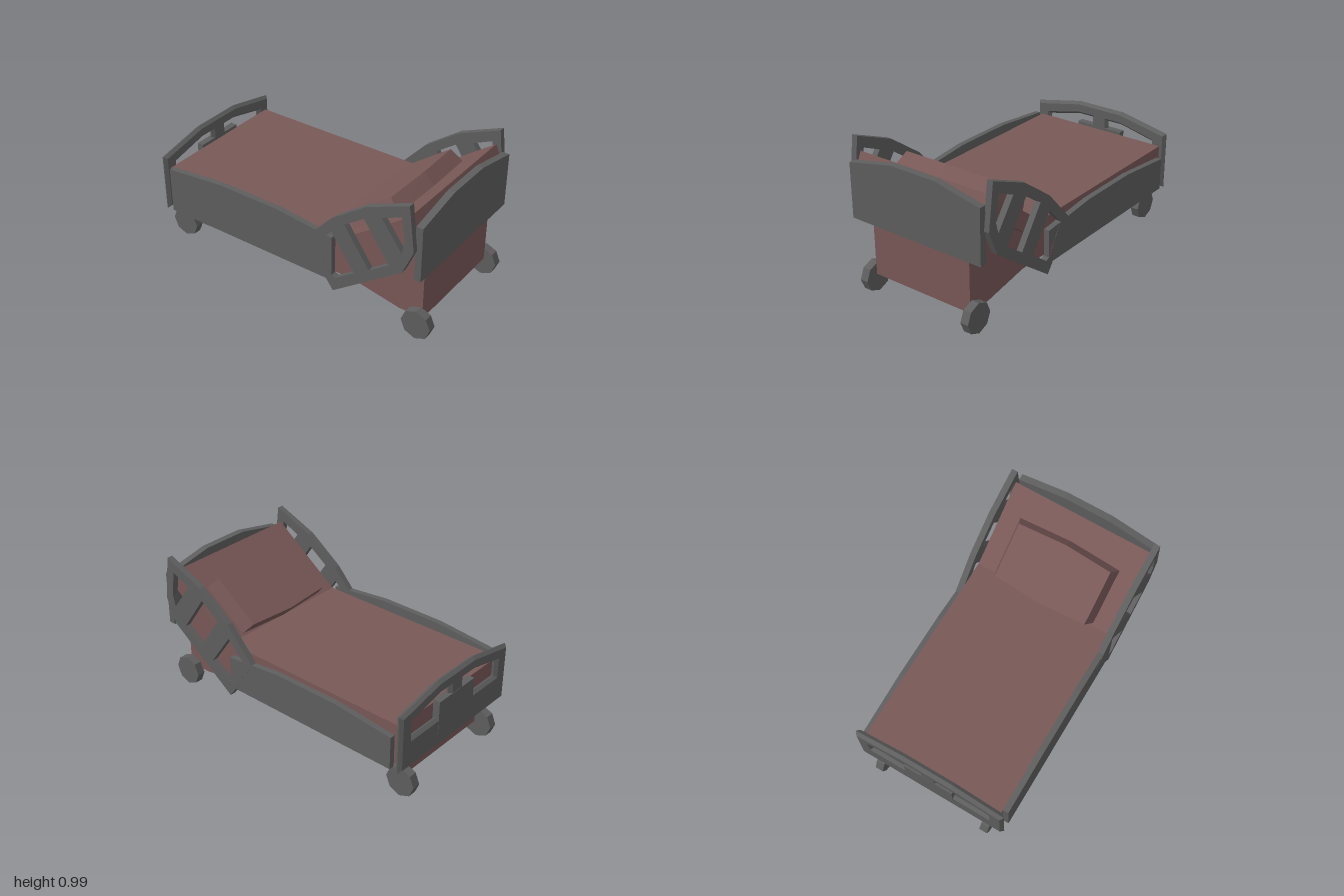
import * as THREE from 'three';
import { ConvexGeometry } from 'three/addons/geometries/ConvexGeometry.js';

const cloth = new THREE.MeshStandardMaterial({ color: 0x785857 });
cloth.name = 'dusty red';
const plastic = new THREE.MeshStandardMaterial({ color: 0x5e5e5e });
plastic.name = 'dark grey';

const points = (list) => list.map(([a, b]) => new THREE.Vector2(a, b));

function makeShape(outline, holes = []) {
  const shape = new THREE.Shape(points(outline));
  holes.forEach((h) => shape.holes.push(new THREE.Path(points(h))));
  return shape;
}

function addMesh(group, name, geometry, material) {
  const mesh = new THREE.Mesh(geometry, material);
  mesh.name = name;
  group.add(mesh);
  return mesh;
}

// Side profile given as [z, y], extruded across x and centred on cx
function sideProfile(outline, width, cx = 0, holes = []) {
  const geo = new THREE.ExtrudeGeometry(makeShape(outline, holes), { depth: width, bevelEnabled: false });
  geo.rotateY(-Math.PI / 2);
  geo.translate(cx + width / 2, 0, 0);
  return geo;
}

// Front profile given as [x, y], extruded from z0
function frontProfile(outline, z0, depth, holes = []) {
  const geo = new THREE.ExtrudeGeometry(makeShape(outline, holes), { depth, bevelEnabled: false });
  geo.translate(0, 0, z0);
  return geo;
}

export function createModel() {
  const bed = new THREE.Group();
  bed.name = 'adjustableBed';

  // Base with a raised back section
  addMesh(bed, 'base', sideProfile([
    [0.915, 0.78], [0.4, 0.41], [-0.88, 0.41], [-0.88, 0.1], [-0.73, 0.1], [-0.69, 0.185],
    [0.42, 0.185], [0.75, 0.125], [0.915, 0.12],
  ], 0.73), cloth);

  // Mattress bent upwards at the head
  addMesh(bed, 'mattress', sideProfile([
    [-0.93, 0.41], [0.4, 0.41], [0.914, 0.785], [0.87, 0.885], [0.4, 0.54], [-0.93, 0.54],
  ], 0.96), cloth);

  // Pillow: two six-sided rings lying on the sloping back, u along it and v away from it
  const pillow = [];
  const onSlope = (x, u, v) => new THREE.Vector3(x, 0.54 + 0.592 * u + 0.806 * v, 0.4 + 0.806 * u - 0.592 * v);
  for (const [w, u0, u1, v] of [[0.36, 0.02, 0.395, -0.01], [0.325, 0.01, 0.38, 0.1]]) {
    for (const x of [-w, 0, w]) {
      const bulge = x === 0 ? 0.02 : 0;
      pillow.push(onSlope(x, u0 - bulge, v), onSlope(x, u1 + bulge, v));
    }
  }
  addMesh(bed, 'pillow', new ConvexGeometry(pillow), cloth);

  // Headboard
  addMesh(bed, 'headboard', frontProfile([
    [-0.485, 0.482], [0.485, 0.482], [0.485, 0.843], [0.16, 0.91], [-0.16, 0.91], [-0.485, 0.843],
  ], 0.915, 0.045), plastic);

  // Footboard frame with bevelled rim and two openings beside a middle post
  const opening = (s) => [
    [s * 0.045, 0.43], [s * 0.43, 0.43], [s * 0.43, 0.57], [s * 0.17, 0.63], [s * 0.045, 0.63],
  ];
  const footGeo = new THREE.ExtrudeGeometry(makeShape([
    [-0.5, 0.263], [0.5, 0.263], [0.5, 0.615], [0.17, 0.683], [-0.17, 0.683], [-0.5, 0.615],
  ], [opening(1), opening(-1)]), {
    depth: 0.003, bevelEnabled: true, bevelSegments: 1, bevelSize: 0.018, bevelThickness: 0.021,
  });
  footGeo.translate(0, 0, -0.953);
  addMesh(bed, 'footboard', footGeo, plastic);
  addMesh(bed, 'footPanel', frontProfile([
    [-0.17, 0.34], [0.17, 0.34], [0.17, 0.56], [-0.17, 0.56],
  ], -0.976, 0.046), plastic);

  // Head rails with three slanted slots, and lower side panels (the -x panel is raised)
  const railOutline = [
    [0.89, 0.985], [0.61, 0.87], [0.375, 0.7], [0.18, 0.487], [0.333, 0.25], [0.382, 0.182],
    [0.858, 0.527], [0.928, 0.69],
  ];
  const slots = [
    [[0.843, 0.895], [0.714, 0.837], [0.848, 0.655], [0.868, 0.73]],
    [[0.596, 0.785], [0.462, 0.69], [0.634, 0.442], [0.768, 0.538]],
    [[0.372, 0.602], [0.26, 0.485], [0.372, 0.292], [0.398, 0.28], [0.532, 0.377]],
  ];
  for (const [side, label, lift] of [[1, 'left', 0], [-1, 'right', 0.09]]) {
    addMesh(bed, label + 'HeadRail', sideProfile(railOutline, 0.04, side * 0.5, slots), plastic);
    addMesh(bed, label + 'SidePanel', sideProfile([
      [0.372, 0.25], [0.372, 0.468 + lift], [-0.04, 0.51 + lift], [-0.48, 0.51 + lift],
      [-0.9, 0.468 + lift], [-0.9, 0.25],
    ], 0.037, side * 0.5), plastic);

    // Octagonal wheels
    for (const [end, z] of [['Front', 0.9], ['Back', -0.9]]) {
      const wheel = new THREE.CylinderGeometry(0.1, 0.1, 0.055, 8).toNonIndexed();
      wheel.computeVertexNormals();
      wheel.rotateZ(Math.PI / 2);
      addMesh(bed, label + end + 'Wheel', wheel, plastic).position.set(side * 0.39, 0.1, z);
    }
  }
  return bed;
}
